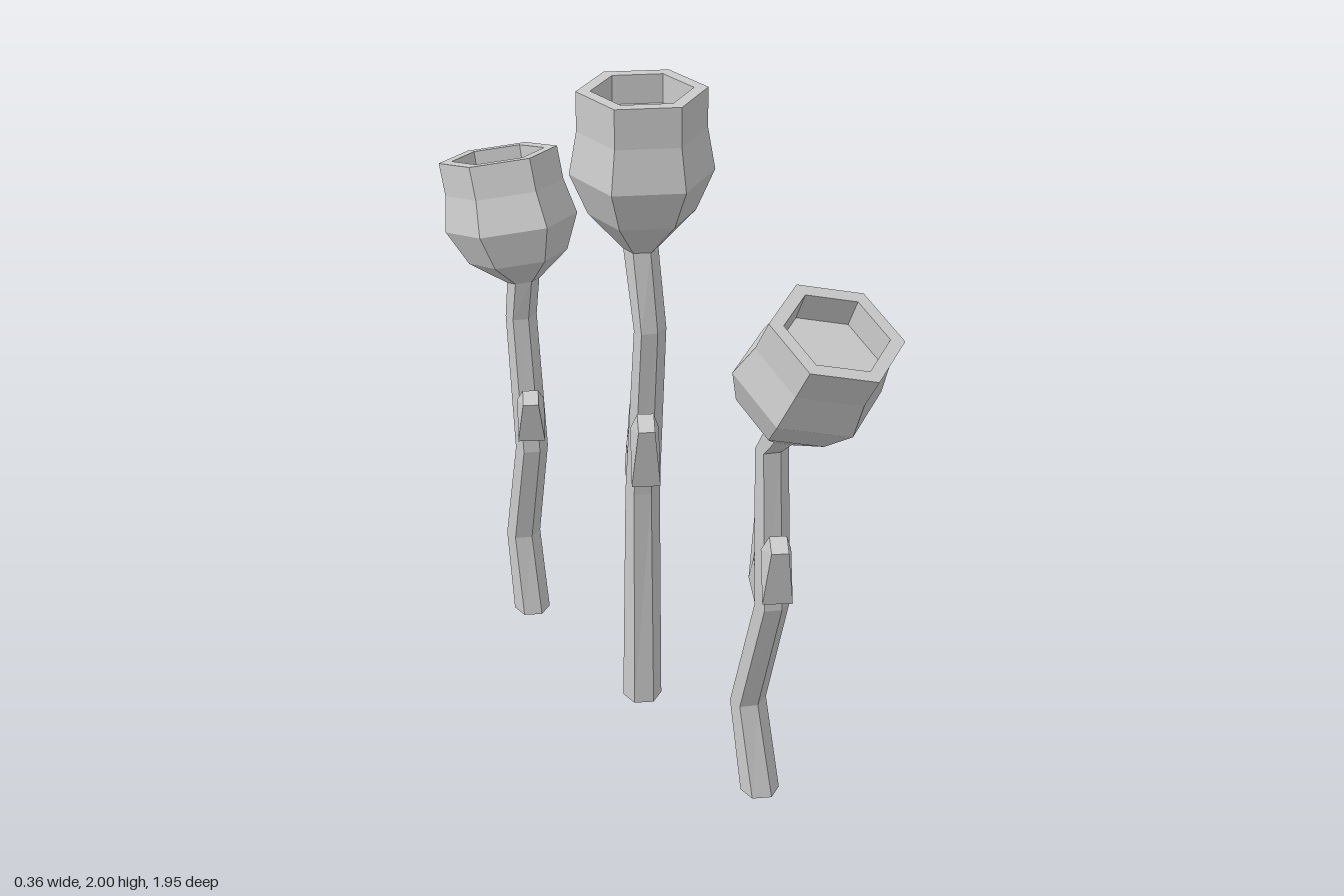
import * as THREE from 'three';

const material = new THREE.MeshStandardMaterial({ color: 0xcccccc, flatShading: true });

// Skin a list of equal-sized point rings and cap both ends
function loft(name, rings) {
  const pos = [];
  const tri = (...pts) => pts.forEach((p) => pos.push(...p));
  const n = rings[0].length;
  for (let k = 0; k < rings.length - 1; k++) {
    const a = rings[k], b = rings[k + 1];
    for (let i = 0; i < n; i++) {
      const j = (i + 1) % n;
      tri(a[i], a[j], b[j]);
      tri(a[i], b[j], b[i]);
    }
  }
  const first = rings[0], last = rings[rings.length - 1];
  for (let i = 1; i < n - 1; i++) {
    tri(first[0], first[i + 1], first[i]);
    tri(last[0], last[i], last[i + 1]);
  }
  const geometry = new THREE.BufferGeometry();
  geometry.setAttribute('position', new THREE.Float32BufferAttribute(pos, 3));
  geometry.computeVertexNormals();
  const mesh = new THREE.Mesh(geometry, material);
  mesh.name = name;
  return mesh;
}

// Six-sided ring centred at (0, y, z), leaning towards +z by tilt
function hexRing(z, y, rx, rz = rx, tilt = 0) {
  return Array.from({ length: 6 }, (_, i) => {
    const a = (i * Math.PI) / 3, d = rz * Math.cos(a);
    return [rx * Math.sin(a), y - d * Math.sin(tilt), z + d * Math.cos(tilt)];
  });
}

// Cup-shaped bloom: outer skin, rim, then the recessed floor
function bloom({ base, lower, wide, top, tilt }) {
  const upper = [0, 1].map((i) => THREE.MathUtils.lerp(wide[i], top[i], 0.52));
  const depth = 0.085;
  const floor = [top[0] - depth * Math.sin(tilt), top[1] - depth * Math.cos(tilt)];
  const ring = (c, r) => hexRing(c[0], c[1], r, r, tilt);
  return loft('bloom', [
    ring(base, 0.052), ring(lower, 0.153), ring(wide, 0.205),
    ring(upper, 0.183), ring(top, 0.183), ring(top, 0.143), ring(floor, 0.143),
  ]);
}

// Leaf sections: low [out, up], high [out, up], half width
const leafSections = [
  [[-0.02, 0], [-0.02, 0.13], 0.028],
  [[0.165, 0.045], [0.05, 0.2], 0.042],
  [[0.21, 0.25], [0.115, 0.275], 0.024],
];

// Leaf growing out of the stem; dir = 1 is front, -1 is back
function leaf(dir, z, y, reach, rise) {
  const a = 0.57;
  const ux = -dir * Math.sin(a), uz = dir * Math.cos(a);
  const rings = leafSections.map(([low, high, w]) => {
    const at = ([out, up], t) => {
      const u = 0.03 + out * reach;
      return [ux * u - uz * t, y + up * rise, z + uz * u + ux * t];
    };
    return [at(low, -w), at(high, -w), at(high, w), at(low, w)];
  });
  return loft(dir > 0 ? 'frontLeaf' : 'backLeaf', rings);
}

// Stem rings: [z, y, radius x, radius z]; leaves: [dir, z, y, reach, rise]
const flowers = [
  {
    name: 'frontFlower',
    stem: [[0.55, 0, 0.058, 0.056], [0.485, 0.285, 0.056, 0.046], [0.582, 0.66, 0.053, 0.045], [0.562, 1.15, 0.051, 0.038]],
    leaves: [[1, 0.58, 0.7, 0.62, 0.86], [-1, 0.575, 0.585, 1, 0.87]],
    head: { base: [0.605, 1.215], lower: [0.637, 1.305], wide: [0.7, 1.402], top: [0.81, 1.587], tilt: 0.418 },
  },
  {
    name: 'middleFlower',
    stem: [[-0.042, 0.01, 0.06, 0.06], [-0.038, 0.75, 0.055, 0.044], [0, 1.29, 0.051, 0.037]],
    leaves: [[1, -0.035, 0.8, 0.75, 0.95], [-1, -0.042, 0.66, 1, 1]],
    head: { base: [-0.045, 1.53], lower: [-0.038, 1.64], wide: [-0.037, 1.76], top: [-0.037, 2], tilt: 0 },
  },
  {
    name: 'backFlower',
    stem: [[-0.67, 0.01, 0.058, 0.058], [-0.71, 0.285, 0.056, 0.05], [-0.645, 0.63, 0.053, 0.047], [-0.686, 1.08, 0.051, 0.042]],
    leaves: [[1, -0.645, 0.695, 0.7, 0.69], [-1, -0.65, 0.555, 1, 0.72]],
    head: { base: [-0.668, 1.205], lower: [-0.692, 1.275], wide: [-0.726, 1.378], top: [-0.792, 1.58], tilt: -0.232 },
  },
];

export function createModel() {
  const model = new THREE.Group();
  model.name = 'flowers';
  for (const { name, stem, leaves, head } of flowers) {
    const flower = new THREE.Group();
    flower.name = name;
    const neck = hexRing(head.base[0], head.base[1], 0.051, 0.048, head.tilt);
    flower.add(loft('stem', [...stem.map((s) => hexRing(...s)), neck]));
    leaves.forEach((l) => flower.add(leaf(...l)));
    flower.add(bloom(head));
    model.add(flower);
  }
  return model;
}
